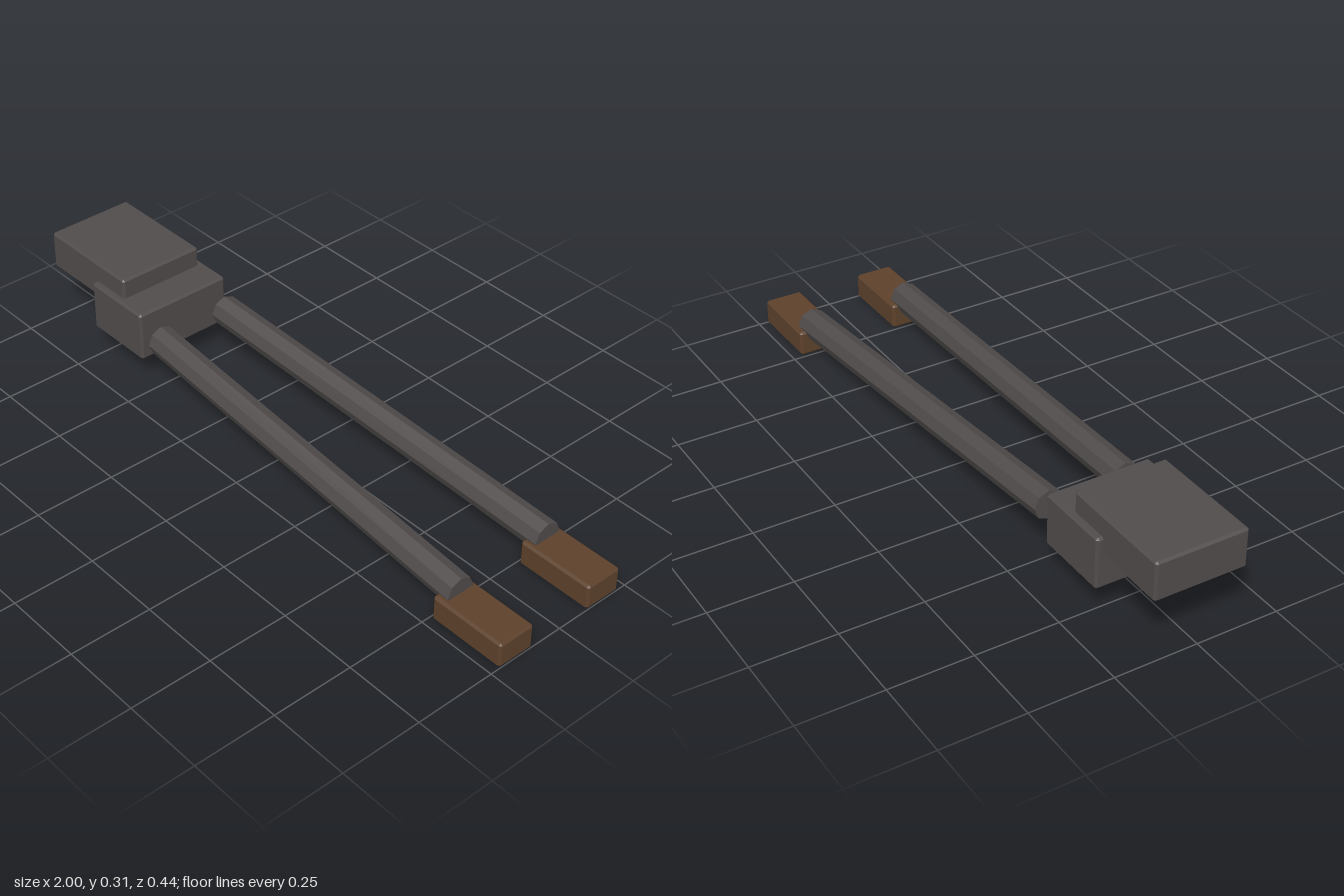
import * as THREE from 'three';
import { ConvexGeometry } from 'three/addons/geometries/ConvexGeometry.js';

const CHAMFER = 0.007;

// Box between two corners with every edge cut by a small flat chamfer
function chamferBox(min, max) {
  const half = min.map((v, i) => (max[i] - v) / 2);
  const mid = min.map((v, i) => (max[i] + v) / 2);
  const points = [];
  for (const sx of [-1, 1]) for (const sy of [-1, 1]) for (const sz of [-1, 1]) {
    const signs = [sx, sy, sz];
    // each corner becomes three points, one on each adjoining face
    for (let face = 0; face < 3; face++) {
      const p = signs.map((s, i) => mid[i] + s * (half[i] - (i === face ? 0 : CHAMFER)));
      points.push(new THREE.Vector3(...p));
    }
  }
  return new ConvexGeometry(points);
}

// Eight-sided bar along x, slanted between two centres, with upright ends
function slantedBar(start, end, radius) {
  const length = end[0] - start[0];
  const geometry = new THREE.CylinderGeometry(radius, radius, length, 8);
  geometry.rotateZ(-Math.PI / 2);
  const pos = geometry.attributes.position;
  for (let i = 0; i < pos.count; i++) {
    const t = pos.getX(i) / length + 0.5;
    pos.setXYZ(
      i,
      start[0] + t * length,
      pos.getY(i) + THREE.MathUtils.lerp(start[1], end[1], t),
      pos.getZ(i) + THREE.MathUtils.lerp(start[2], end[2], t)
    );
  }
  const flat = geometry.toNonIndexed();
  flat.computeVertexNormals();
  return flat;
}

export function createModel() {
  const model = new THREE.Group();
  const grey = new THREE.MeshStandardMaterial({ color: 0x504c4b });
  grey.name = 'darkGrey';
  const brown = new THREE.MeshStandardMaterial({ color: 0x5d412b });
  brown.name = 'brown';

  const add = (name, geometry, material) => {
    const mesh = new THREE.Mesh(geometry, material);
    mesh.name = name;
    model.add(mesh);
  };

  // Two overlapping blocks at one end
  add('upperBlock', chamferBox([-1, 0.185, -0.141], [-0.643, 0.307, 0.141]), grey);
  add('lowerBlock', chamferBox([-0.777, 0.083, -0.16], [-0.542, 0.243, 0.16]), grey);

  // Mirrored pair of slanted bars ending in brown blocks
  for (const [side, s] of [['front', 1], ['back', -1]]) {
    add(side + 'Bar', slantedBar([-0.497, 0.165, s * 0.12], [0.797, 0.084, s * 0.162], 0.046), grey);
    const z = [s * 0.102, s * 0.222].sort((a, b) => a - b);
    add(side + 'Foot', chamferBox([0.757, 0, z[0]], [1, 0.08, z[1]]), brown);
  }
  return model;
}
